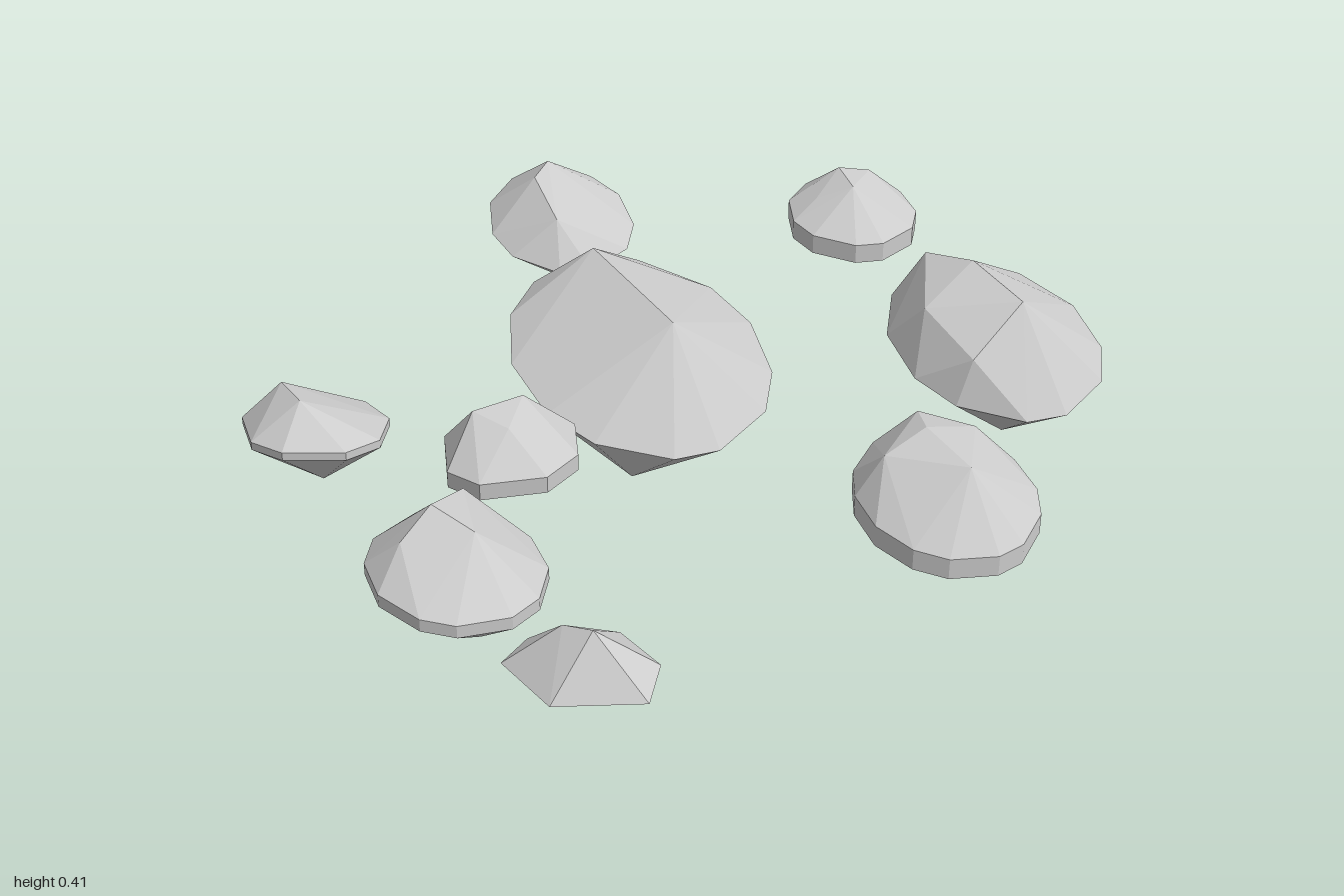
import * as THREE from 'three';
import { ConvexGeometry } from 'three/addons/geometries/ConvexGeometry.js';

const material = new THREE.MeshStandardMaterial({ color: 0xcccccc, flatShading: true });

// A faceted stone: the hull of a tilted girdle ring (optionally a band) and a few peaks above and below it.
function stone(name, { at = [0, 0, 0], rx = 0, rz = rx, sides = 0, phase = 0, tiltX = 0, tiltZ = 0, band = 0, peaks }) {
  const points = peaks.map(p => new THREE.Vector3(...p));
  for (let i = 0; i < sides; i++) {
    const a = phase + (i + 0.12 * Math.sin(i * 2.7)) / sides * Math.PI * 2;
    const dx = rx * Math.cos(a), dz = rz * Math.sin(a);
    const y = at[1] + tiltX * dx + tiltZ * dz;
    for (const h of band ? [-band / 2, band / 2] : [0]) {
      points.push(new THREE.Vector3(at[0] + dx, y + h, at[2] + dz));
    }
  }
  const mesh = new THREE.Mesh(new ConvexGeometry(points), material);
  mesh.name = name;
  return mesh;
}

export function createModel() {
  const group = new THREE.Group();
  group.name = 'scatteredStones';

  group.add(
    // Two large stones
    stone('largeCentreStone', {
      at: [0, 0.21, -0.12], rx: 0.315, rz: 0.32, sides: 13, phase: 0.1, tiltZ: -0.31,
      peaks: [[0.01, 0.41, -0.32], [-0.01, 0.37, 0.02], [-0.14, 0, 0.03], [-0.11, 0.06, -0.26]],
    }),
    stone('largeLeftStone', {
      at: [0.73, 0.2, 0.335], rx: 0.27, rz: 0.265, sides: 12, tiltZ: -0.28,
      peaks: [[0.69, 0.41, 0.28], [0.69, 0.375, 0.45], [0.53, 0.34, 0.29], [0.53, 0.28, 0.46],
        [0.66, 0.385, 0.15], [0.69, 0, 0.42], [0.62, 0.08, 0.18]],
    }),
    // Medium stones
    stone('frontStone', {
      at: [0.16, 0.21, 0.765], rx: 0.205, sides: 14, tiltZ: -0.18, band: 0.05,
      peaks: [[0.16, 0.365, 0.69], [0.15, 0.345, 0.84], [0.04, 0.34, 0.69], [0.29, 0.325, 0.71],
        [0.21, 0.345, 0.61], [0.13, 0.062, 0.83], [0.05, 0.09, 0.74], [0.28, 0.1, 0.76], [0.15, 0.085, 0.68]],
    }),
    stone('rightStone', {
      at: [-0.81, 0.205, 0.325], rx: 0.19, rz: 0.19, sides: 12, phase: Math.PI, tiltX: -0.08, tiltZ: -0.1, band: 0.03,
      peaks: [[-0.83, 0.355, 0.27], [-0.72, 0.32, 0.22], [-0.79, 0.325, 0.37], [-0.92, 0.31, 0.29],
        [-0.9, 0.1, 0.32], [-0.74, 0.1, 0.32], [-0.82, 0.1, 0.42], [-0.82, 0.105, 0.23]],
    }),
    stone('backStone', {
      at: [0.235, 0.215, -0.78], rx: 0.19, rz: 0.195, sides: 11, tiltX: 0.08, tiltZ: -0.27,
      peaks: [[0.26, 0.345, -0.87], [0.19, 0.335, -0.83], [0.16, 0.28, -0.69],
        [0.2, 0.075, -0.75], [0.25, 0.09, -0.87]],
    }),
    // Small stones
    stone('rightInnerStone', {
      at: [-0.505, 0.24, 0.075], rx: 0.165, rz: 0.148, sides: 8, phase: 0.1, band: 0.04,
      peaks: [[-0.57, 0.355, 0.03], [-0.45, 0.36, 0.05], [-0.53, 0.335, 0.11],
        [-0.4, 0.155, 0.09], [-0.56, 0.18, 0.08]],
    }),
    stone('backRightStone', {
      at: [-0.79, 0.235, -0.285], rx: 0.168, sides: 9, phase: 0.35, tiltX: -0.15, tiltZ: 0.1, band: 0.02,
      peaks: [[-0.83, 0.34, -0.35], [-0.84, 0.345, -0.25], [-0.8, 0.12, -0.25], [-0.72, 0.13, -0.33]],
    }),
    stone('backLeftStone', {
      at: [0.815, 0.24, -0.285], rx: 0.17, rz: 0.165, sides: 11, tiltZ: -0.1, band: 0.05,
      peaks: [[0.83, 0.355, -0.36], [0.8, 0.345, -0.27], [0.91, 0.335, -0.33], [0.73, 0.31, -0.33],
        [0.82, 0.122, -0.29], [0.85, 0.13, -0.38], [0.86, 0.16, -0.2], [0.73, 0.15, -0.33]],
    }),
    stone('frontRightPebble', {
      peaks: [[-0.92, 0.23, 0.65], [-0.85, 0.25, 0.64], [-0.69, 0.245, 0.73], [-0.68, 0.235, 0.85],
        [-0.75, 0.21, 0.905], [-0.91, 0.215, 0.8], [-0.82, 0.32, 0.72], [-0.79, 0.33, 0.78],
        [-0.85, 0.175, 0.76], [-0.73, 0.19, 0.82]],
    }),
  );
  return group;
}
